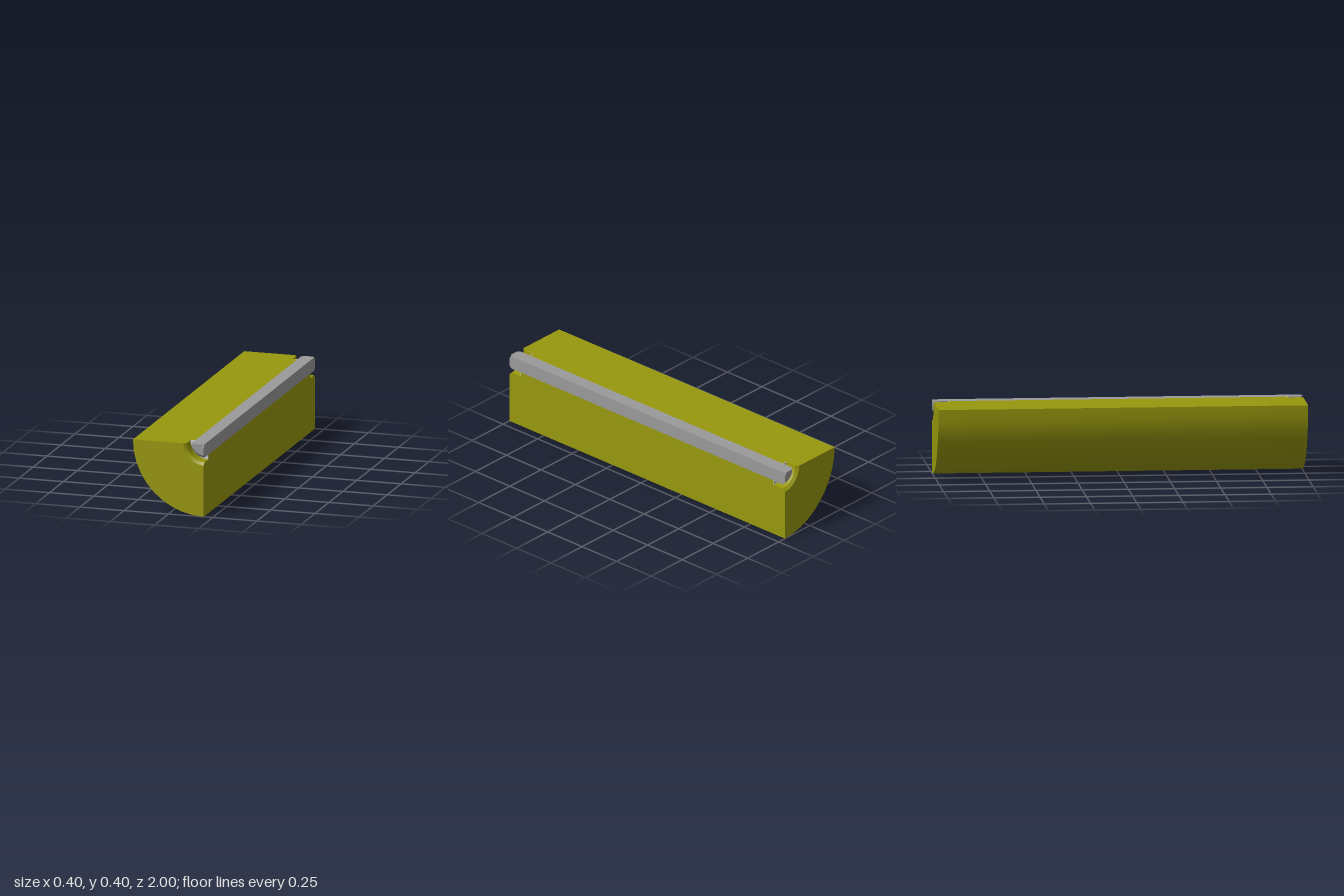
import * as THREE from 'three';
import { mergeGeometries, toCreasedNormals } from 'three/addons/utils/BufferGeometryUtils.js';

// Quarter-turn solid from a closed counterclockwise (radius, z) profile symmetric in z
function quarterSolid(name, profile, color, steps) {
  const pts = profile.map(([r, z]) => new THREE.Vector2(r, z));
  const swept = new THREE.LatheGeometry([...pts, pts[0]], steps, Math.PI * 1.5, Math.PI / 2);
  swept.rotateX(Math.PI / 2);

  // Flat cut faces: one facing up, one facing +x
  const cap = (r, z, n) => new THREE.ShapeGeometry(new THREE.Shape(pts))
    .applyMatrix4(new THREE.Matrix4().makeBasis(r, z, n));
  const v = (x, y, z) => new THREE.Vector3(x, y, z);
  const top = cap(v(-1, 0, 0), v(0, 0, 1), v(0, 1, 0));
  const side = cap(v(0, -1, 0), v(0, 0, -1), v(1, 0, 0));

  const geometry = toCreasedNormals(mergeGeometries([swept, top, side]), 0.5);
  const mesh = new THREE.Mesh(geometry, new THREE.MeshStandardMaterial({ color }));
  mesh.name = name;
  return mesh;
}

// Completes a half profile (listed from outside to centre at +z) with its mirror
const mirrored = (half) => [...half.map(([r, z]) => [r, -z]).reverse(), ...half];

export function createModel() {
  const group = new THREE.Group();
  group.name = 'quarterRoller';
  const olive = 0x98980e, steel = 0x9a9a9a, light = 0xcccccc;
  const bore = 0.074, recess = 0.1, floor = 0.92;

  // Roller body with a chamfered recess at each end of the bore
  group.add(quarterSolid('rollerBody', mirrored([
    [0.4, 1], [0.115, 1], [recess, 0.985], [recess, floor - 0.004], [bore, floor - 0.004],
  ]), olive, 10));

  // Shaft with chamfered ends and small conical centre holes
  group.add(quarterSolid('shaft', mirrored([
    [bore, 0.985], [0.059, 1], [0.015, 1], [0, 0.985],
  ]), steel, 12));

  // Thin rings lying on the recess floors
  for (const s of [1, -1]) {
    const ring = quarterSolid(s > 0 ? 'frontRing' : 'backRing', mirrored([
      [recess, 0.002], [bore, 0.002],
    ]), light, 10);
    ring.position.z = s * (floor - 0.002);
    group.add(ring);
  }

  // All parts share the axis along the upper +x edge
  for (const part of group.children) part.position.add(new THREE.Vector3(0.2, 0.4, 0));
  return group;
}
